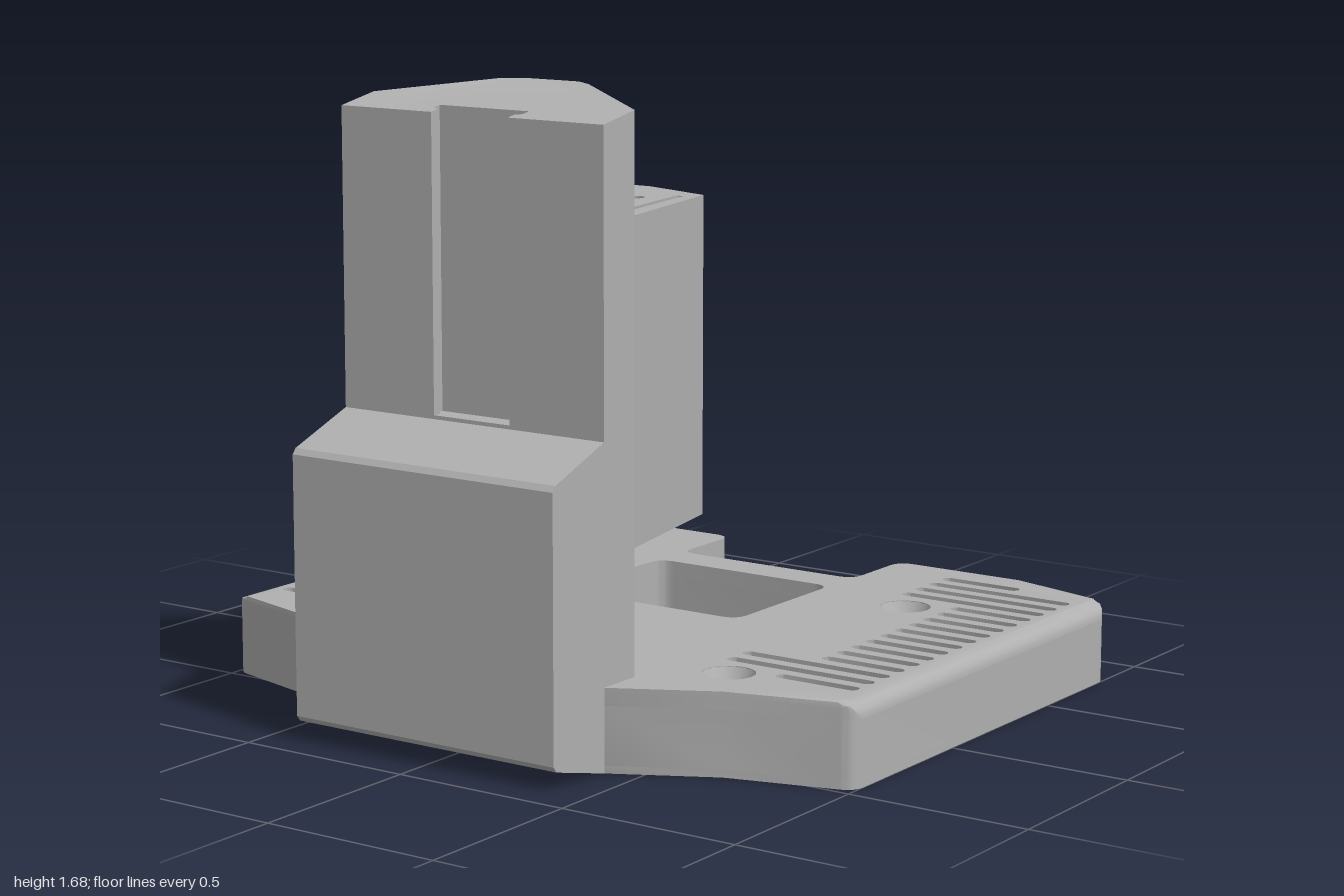
import * as THREE from 'three';
import { toCreasedNormals } from 'three/addons/utils/BufferGeometryUtils.js';

const grey = new THREE.MeshStandardMaterial({ color: 0xb0b0b0, side: THREE.DoubleSide });
grey.name = 'matte grey';

// Trace a plan polygon of [x, z, cornerRadius] points
function trace(path, pts) {
  const n = pts.length;
  const v = pts.map(p => new THREE.Vector2(p[0], -p[1]));
  for (let i = 0; i < n; i++) {
    const r = pts[i][2] || 0;
    const toward = q => v[i].clone().add(q.clone().sub(v[i]).setLength(r));
    const a = r ? toward(v[(i + n - 1) % n]) : v[i];
    if (i === 0) path.moveTo(a.x, a.y); else path.lineTo(a.x, a.y);
    if (r) {
      const b = toward(v[(i + 1) % n]);
      path.quadraticCurveTo(v[i].x, v[i].y, b.x, b.y);
    }
  }
  path.closePath();
  return path;
}
const hole = pts => trace(new THREE.Path(), pts);
const circle = (x, z, r) => new THREE.Path().absarc(x, -z, r, 0, Math.PI * 2, true);

// Round-ended slot between two plan points
function slot(x1, z1, x2, z2, w) {
  const a = Math.atan2(-(z2 - z1), x2 - x1), h = Math.PI / 2, r = w / 2;
  const p = new THREE.Path();
  p.absarc(x2, -z2, r, a - h, a + h, false);
  p.absarc(x1, -z1, r, a + h, a + 3 * h, false);
  p.closePath();
  return p;
}

// Extrude a plan polygon from y0 to y1; rule(v) may adjust vertices
function slab(name, pts, y0, y1, holes = [], rule = null, steps = 1) {
  const shape = trace(new THREE.Shape(), pts);
  shape.holes.push(...holes);
  let g = new THREE.ExtrudeGeometry(shape, { depth: y1 - y0, bevelEnabled: false, curveSegments: 8, steps });
  g.rotateX(-Math.PI / 2).translate(0, y0, 0);
  if (rule) {
    const pos = g.attributes.position, v = new THREE.Vector3();
    for (let i = 0; i < pos.count; i++) {
      rule(v.fromBufferAttribute(pos, i));
      pos.setXYZ(i, v.x, v.y, v.z);
    }
  }
  g = toCreasedNormals(g, 0.5);
  const mesh = new THREE.Mesh(g, grey);
  mesh.name = name;
  return mesh;
}

// Complete a half outline (z > 0) by mirroring it in z
const mirrored = half => [...half, ...half.map(([x, z, r]) => [x, -z, r]).reverse()];

function createBase() {
  const base = new THREE.Group();
  base.name = 'base';
  const outline = mirrored([
    [-0.7, 0.41], [-0.56, 0.67], [-0.47, 1, 0.04], [0.825, 1, 0.04], [0.91, 0.68],
    [0.91, 0.29, 0.05], [0.66, 0.29, 0.05],
  ]);
  const screws = [[-0.4, 0.58], [0.46, 0.58], [-0.4, -0.58], [0.46, -0.58]];
  // Central window and the two bores beside the column
  const openings = () => [
    hole([[0.08, -0.29, 0.05], [0.545, -0.29, 0.05], [0.545, 0.285, 0.05], [0.08, 0.285, 0.05]]),
    circle(-0.41, 0.17, 0.075), circle(-0.41, -0.17, 0.075),
  ];
  const bores = r => screws.map(([x, z]) => circle(x, z, r));

  // Vent slots in the top
  const vents = [];
  for (const s of [1, -1]) for (let i = 0; i < 17; i++) {
    const x = -0.35 + i * 0.0722;
    const long = i === 1 || i === 2 || i > 12;
    vents.push(slot(x, s * (long ? 0.515 : 0.71), x, s * (i === 16 ? 0.72 : 0.915), 0.036));
  }
  // Long grooves and short fins underneath
  const grooves = [];
  for (const s of [1, -1]) for (const z of [0.45, 0.72, 0.82, 0.92])
    grooves.push(slot(-0.43, s * z, 0.79, s * z, 0.02));
  for (let i = 0; i < 14; i++) {
    const z = -0.36 + i * 0.0554;
    grooves.push(slot(-0.66, z, -0.54, z, 0.022));
  }
  // Rounded upper edge along both long sides
  const r = 0.045;
  const roundEdge = v => {
    const t = Math.max(0, v.y - (0.22 - r));
    const lim = 1 - r + Math.sqrt(Math.max(0, r * r - t * t));
    v.z = THREE.MathUtils.clamp(v.z, -lim, lim);
  };
  base.add(
    slab('baseUnderside', outline, 0, 0.02, [...openings(), ...bores(0.037), ...grooves]),
    slab('baseBody', outline, 0.02, 0.175, [...openings(), ...bores(0.07)]),
    slab('baseTop', outline, 0.175, 0.22, [...openings(), ...bores(0.07), ...vents], roundEdge, 5),
  );
  // Countersunk screw seats
  const seat = new THREE.LatheGeometry(
    [[0.037, 0], [0.037, 0.15], [0.037, 0.15], [0.07, 0.219]].map(p => new THREE.Vector2(...p)), 24);
  for (const [x, z] of screws) {
    const m = new THREE.Mesh(seat, grey);
    m.name = 'screwSeat';
    m.position.set(x, 0, z);
    base.add(m);
  }
  return base;
}

function createColumn() {
  const column = new THREE.Group();
  column.name = 'column';
  const front = [[-0.57, 0.41], [-0.48, 0.275], [-0.48, -0.275], [-0.57, -0.41]];
  // Undercut rail groove in the back face
  const rail = [[-0.7, -0.12], [-0.675, -0.12], [-0.665, -0.14], [-0.64, -0.14],
    [-0.64, 0.14], [-0.665, 0.14], [-0.675, 0.12], [-0.7, 0.12]];
  const back = [[-0.7, -0.41], ...rail, [-0.7, 0.41]];
  const slopedTop = v => {
    if (v.y > 1.5) v.y = Math.min(1.68, 1.62 + (v.x + 0.7) * 0.194);
  };
  column.add(
    slab('columnFoot', [[-0.7, 0.41], ...front, [-0.7, -0.41]], 0.05, 0.85),
    // Layer pierced by the cable passage
    slab('columnPassage', [[-0.57, 0.41], [-0.48, 0.275], [-0.48, -0.15], [-0.68, -0.15],
      [-0.68, -0.41], ...back], 0.85, 1.03),
    slab('columnPassageCorner', [[-0.59, -0.41], [-0.57, -0.41], [-0.48, -0.275],
      [-0.48, -0.24], [-0.59, -0.24]], 0.85, 1.03),
    slab('columnMiddle', [...front, ...back], 1.03, 1.38),
    slab('columnHead', [[-0.57, 0.41], [-0.39, 0.14], [-0.35, 0.08], [-0.35, -0.08],
      [-0.39, -0.14], [-0.57, -0.41], ...back], 1.38, 1.65, [], slopedTop),
  );
  // Bulge behind the column
  const profile = [[-0.7, 0], [-0.9, 0.05], [-0.912, 0.065], [-0.912, 0.75], [-0.9, 0.765], [-0.7, 0.84]];
  const g = new THREE.ExtrudeGeometry(
    new THREE.Shape(profile.map(p => new THREE.Vector2(...p))), { depth: 0.82, bevelEnabled: false });
  const bulge = new THREE.Mesh(g.translate(0, 0, -0.41), grey);
  bulge.name = 'rearBulge';
  column.add(bulge);
  return column;
}

function createHousing() {
  const housing = new THREE.Group();
  housing.name = 'housing';
  const outline = mirrored([[-0.48, 0.275], [-0.56, 0.388], [-0.1, 0.295], [-0.03, 0.08]]);
  const capHoles = [];
  for (const s of [1, -1])
    capHoles.push(slot(-0.45, s * 0.307, -0.16, s * 0.257, 0.022), circle(-0.24, s * 0.175, 0.028));
  housing.add(
    slab('housingFloor', outline, 0.54, 0.6),
    slab('housingRoof', outline, 1.305, 1.38, capHoles),
  );
  // Side walls; one carries a shallow groove leading to the cable passage
  const wall = (s, inner, y0, y1) => slab('housingWall', [[-0.48, s * inner], [-0.48, s * 0.275],
    [-0.56, s * 0.388], [-0.1, s * 0.295], [-0.1 + (0.295 - inner) * 0.326, s * inner]], y0, y1);
  housing.add(wall(1, 0.22, 0.6, 1.305), wall(-1, 0.22, 0.6, 0.85),
    wall(-1, 0.24, 0.85, 1.03), wall(-1, 0.22, 1.03, 1.305));
  return housing;
}

export function createModel() {
  const model = new THREE.Group();
  model.name = 'stand';
  model.add(createBase(), createColumn(), createHousing());
  return model;
}
